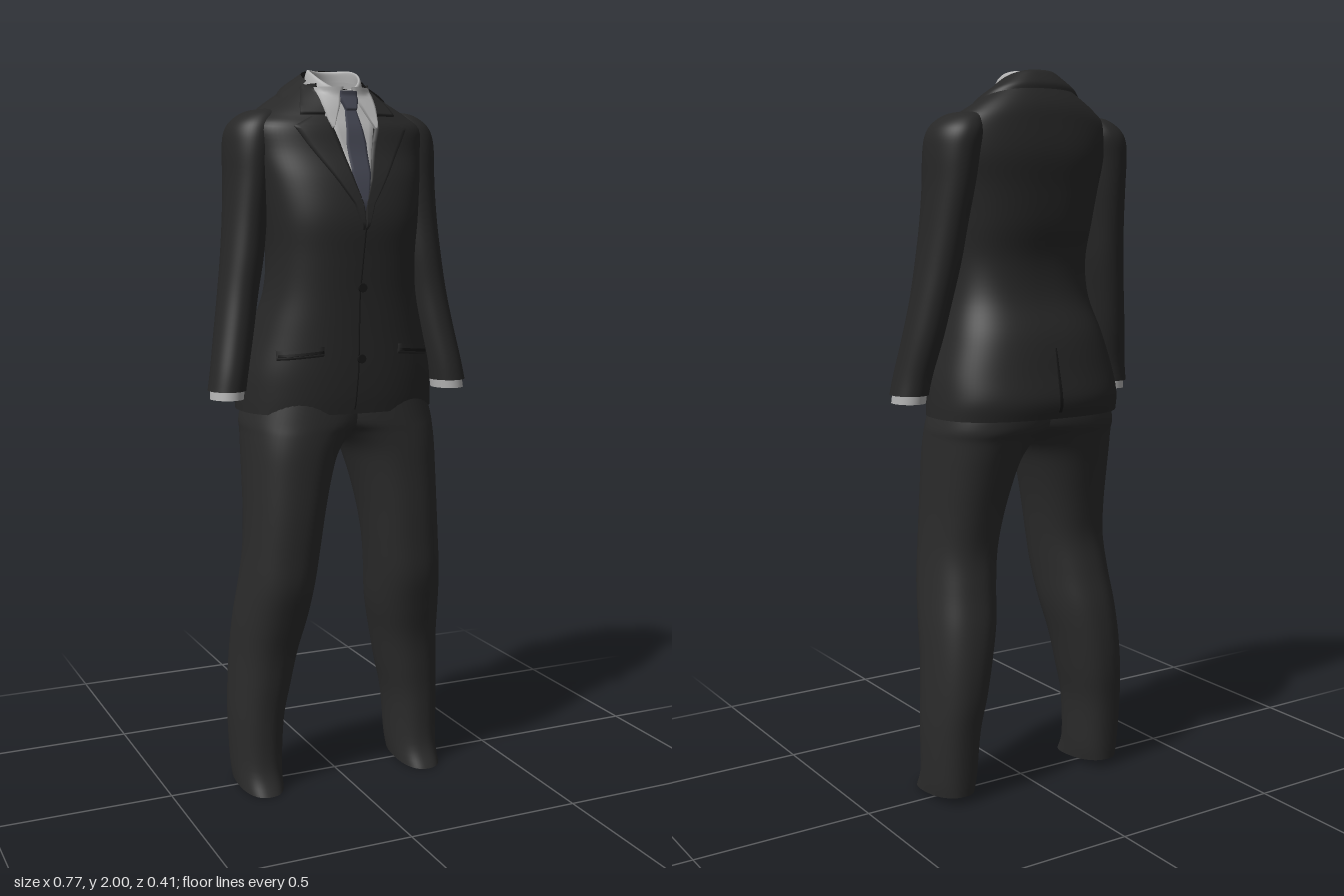
import * as THREE from 'three';

const material = (name, color) => {
  const m = new THREE.MeshStandardMaterial({ color, side: THREE.DoubleSide });
  m.name = name;
  return m;
};

// Smooth interpolation through a list of number rows, t in 0..1
function sample(rows, t) {
  const s = THREE.MathUtils.clamp(t, 0, 1) * (rows.length - 1);
  const i = Math.min(Math.floor(s), rows.length - 2), f = s - i;
  const at = k => rows[THREE.MathUtils.clamp(k, 0, rows.length - 1)];
  const [a, b, c, d] = [at(i - 1), at(i), at(i + 1), at(i + 2)];
  return b.map((v, k) => v + 0.5 * f * (c[k] - a[k] +
    f * (2 * a[k] - 5 * v + 4 * c[k] - d[k] + f * (3 * (v - c[k]) + d[k] - a[k]))));
}

const grid = (pos, rowCount, cols, wrap, flip) => {
  const index = [];
  for (let i = 0; i < rowCount - 1; i++) {
    for (let j = 0; j < (wrap ? cols : cols - 1); j++) {
      const a = i * cols + j, b = i * cols + (j + 1) % cols, c = a + cols, d = b + cols;
      if (flip) index.push(a, b, c, b, d, c);
      else index.push(a, c, b, b, c, d);
    }
  }
  const g = new THREE.BufferGeometry();
  g.setAttribute('position', new THREE.Float32BufferAttribute(pos, 3));
  g.setIndex(index);
  g.computeVertexNormals();
  return g;
};

const spow = (v, e) => Math.sign(v) * Math.abs(v) ** e;

// Rings [y, cx, cz, rx, rz, tilt, bend]; side -1 mirrors the part
function loft(rows, { e = 1, side = 1, from = 0, to = Math.PI * 2, steps = 5, cols = 56 } = {}) {
  const wrap = to - from > 6.28, n = (rows.length - 1) * steps + 1, pos = [];
  for (let i = 0; i < n; i++) {
    const [y, cx, cz, rx, rz, tilt = 0, bend = 0] = sample(rows, i / (n - 1));
    for (let j = 0; j < cols; j++) {
      const a = from + (to - from) * j / (wrap ? cols : cols - 1);
      const s = spow(Math.sin(a), e);
      pos.push(side * (cx + rx * spow(Math.cos(a), e)), y - tilt * rz * s - bend * s * s, cz + rz * s);
    }
  }
  return grid(pos, n, cols, wrap, side < 0);
}

// Jacket body: y, half width, front z, back z, tilt
const TORSO = [
  [1.08, .28, .175, -.19, 0], [1.13, .278, .181, -.2, 0], [1.2, .268, .185, -.187, 0],
  [1.3, .24, .187, -.165, 0], [1.4, .212, .19, -.127, 0], [1.5, .205, .196, -.12, 0],
  [1.6, .215, .2, -.14, 0], [1.7, .23, .178, -.15, 0], [1.78, .245, .145, -.158, .03],
  [1.85, .25, .125, -.15, .1], [1.89, .205, .11, -.14, .2], [1.93, .135, .095, -.115, .33],
  [1.96, .086, .078, -.095, .4],
].map(([y, w, f, b, tilt]) => [y, 0, (f + b) / 2, w, (f - b) / 2, tilt]);
const E = 0.8;

// Depth of the jacket surface at (x, y); dir +1 is the front, -1 the back
function torsoZ(x, y, dir) {
  let lo = 0, hi = 1, z = 0;
  for (let k = 0; k < 24; k++) {
    const t = (lo + hi) / 2;
    const [cy, , cz, rx, rz, tilt] = sample(TORSO, t);
    const c = Math.min(1, (Math.abs(x) / rx) ** (1 / E));
    const dz = dir * rz * Math.sqrt(1 - c * c) ** E;
    z = cz + dz;
    if (cy - tilt * dz < y) lo = t; else hi = t;
  }
  return z;
}

// Thin sheet lying on the jacket: rows [y, left x, right x] from top to bottom
function patch(rows, lift, { side = 1, dir = 1, slope = 0 } = {}) {
  const pos = [], cols = 11, steps = 6, n = (rows.length - 1) * steps + 1;
  for (let i = 0; i < n; i++) {
    const k = Math.min(Math.floor(i / steps), rows.length - 2), f = i / steps - k;
    const [y, l, r] = rows[k].map((v, q) => v + (rows[k + 1][q] - v) * f);
    for (let j = 0; j < cols; j++) {
      const u = THREE.MathUtils.clamp((j - 1) / (cols - 3), 0, 1);
      const x = side * (l + (r - l) * u), py = y + slope * (u - .5);
      const off = j === 0 || j === cols - 1 || (i === n - 1) ? -.002 : lift;
      pos.push(x, py, torsoZ(x, py, dir) + dir * off);
    }
  }
  return grid(pos, n, cols, false, side * dir < 0);
}

export function createModel() {
  const model = new THREE.Group();
  model.name = 'suit';
  const jacket = material('jacket cloth', 0x272727);
  const trousers = material('trouser cloth', 0x2b2b2b);
  const dark = material('dark seam', 0x171717);
  const shirt = material('shirt cloth', 0xb2b2b2);
  const tie = material('tie cloth', 0x41434f);
  const add = (name, geometry, mat) => {
    const m = new THREE.Mesh(geometry, mat);
    m.name = name;
    model.add(m);
    return m;
  };

  add('jacketBody', loft(TORSO, { e: E, cols: 80 }), jacket);

  // Jacket collar around the back of the neck
  add('jacketCollar', loft([
    [1.918, 0, -.012, .155, .112, .33], [1.934, 0, -.01, .14, .112, .34],
    [1.962, 0, -.009, .096, .096, .38], [1.972, 0, -.008, .084, .088, .38],
  ], { e: E, from: Math.PI * .98, to: Math.PI * 2.02 }), jacket);

  // Shirt front, collar and tie
  add('shirtFront', patch([[1.928, -.07, .07], [1.88, -.066, .066], [1.8, -.048, .048],
    [1.7, -.023, .023], [1.62, -.002, .002]], .004), shirt);
  add('shirtCollar', loft([
    [1.935, 0, -.008, .083, .086, .4, .005], [1.972, 0, -.008, .077, .082, .4, .015],
    [1.99, 0, -.007, .071, .078, .4, .02], [1.988, 0, -.007, .065, .071, .4, .02],
    [1.96, 0, -.007, .067, .073, .4, .015],
  ]), shirt);
  add('tieBlade', patch([[1.9, -.014, .014], [1.8, -.028, .028], [1.72, -.026, .026],
    [1.62, -.003, .003]], .009), tie);
  add('tieKnot', patch([[1.938, -.024, .024], [1.915, -.025, .025], [1.882, -.013, .013]], .016), tie);
  const neckLining = add('neckLining', new THREE.CircleGeometry(.1, 32).rotateX(-Math.PI / 2), dark);
  neckLining.position.set(0, 1.87, -.01);

  // Front edge, buttons and back vent
  add('frontEdge', patch([[1.6, .002, .005], [1.4, -.012, -.009], [1.2, -.013, -.01], [1.085, -.02, -.017]], .003), dark);
  for (const y of [1.42, 1.23]) {
    const button = add('button', new THREE.CylinderGeometry(.012, .012, .008, 16).rotateX(Math.PI / 2), dark);
    button.position.set(-.004, y, torsoZ(0, y, 1) + .003);
  }
  add('backVent', patch([[1.27, -.001, .002], [1.082, -.006, .006]], .003, { dir: -1 }), dark);

  // Trouser leg: y, inner x, outer x, front z, back z, tilt
  const LEG = [
    [.012, .185, .31, .125, -.095, .1], [.07, .179, .314, .094, -.1, .03],
    [.2, .17, .318, .092, -.11, 0], [.3, .15, .315, .1, -.12, 0],
    [.4, .13, .31, .112, -.12, 0], [.5, .108, .304, .138, -.11, 0],
    [.6, .095, .294, .163, -.09, 0], [.7, .082, .285, .17, -.077, 0],
    [.8, .066, .28, .174, -.09, 0], [.9, .043, .278, .174, -.112, 0],
    [.97, .018, .277, .174, -.13, 0], [1.02, -.025, .276, .173, -.146, 0],
    [1.06, -.08, .274, .172, -.165, 0], [1.15, -.1, .25, .165, -.165, 0],
  ].map(([y, i, o, f, b, t]) => [y, (i + o) / 2, (f + b) / 2, (o - i) / 2, (f - b) / 2, t]);

  // Sleeve from the wrist up to the rounded shoulder cap
  const SLEEVE = [
    [1.145, .335, .04, .051, .06], [1.2, .325, .034, .051, .061], [1.3, .305, .015, .053, .065],
    [1.4, .287, 0, .054, .068], [1.5, .27, -.01, .057, .075], [1.6, .258, -.02, .058, .082],
    [1.7, .247, -.028, .062, .092], [1.78, .24, -.032, .068, .098], [1.83, .232, -.035, .07, .097],
    [1.862, .22, -.035, .062, .085], [1.886, .2, -.035, .042, .06], [1.894, .18, -.035, .008, .012],
  ];

  for (const side of [1, -1]) {
    const tag = side > 0 ? 'left' : 'right';
    add(tag + 'Sleeve', loft(SLEEVE, { side }), jacket);
    add(tag + 'ShirtCuff', loft([[1.122, .336, .042, .045, .053], [1.17, .331, .038, .045, .053]], { side }), shirt);
    add(tag + 'TrouserLeg', loft(LEG, { e: .85, side }), trousers);
    add(tag + 'CollarWing', patch([[1.948, .014, .08], [1.9, .03, .077], [1.855, .052, .071],
      [1.835, .062, .064]], .014, { side }), shirt);
    add(tag + 'CollarFold', patch([[1.958, .076, .096], [1.9, .07, .128], [1.872, .067, .138]], .009, { side }), jacket);
    add(tag + 'Lapel', patch([[1.868, .066, .112], [1.842, .062, .162], [1.8, .048, .136],
      [1.7, .023, .068], [1.64, .004, .028], [1.57, .001, .006]], .009, { side }), jacket);
    add(tag + 'PocketFlap', patch([[1.26, .11, .222], [1.232, .11, .222]], .006, { side, slope: -.012 }), jacket);
    add(tag + 'PocketSeam', patch([[1.249, .112, .22], [1.24, .112, .22]], .009, { side, slope: -.012 }), dark);
  }
  return model;
}
